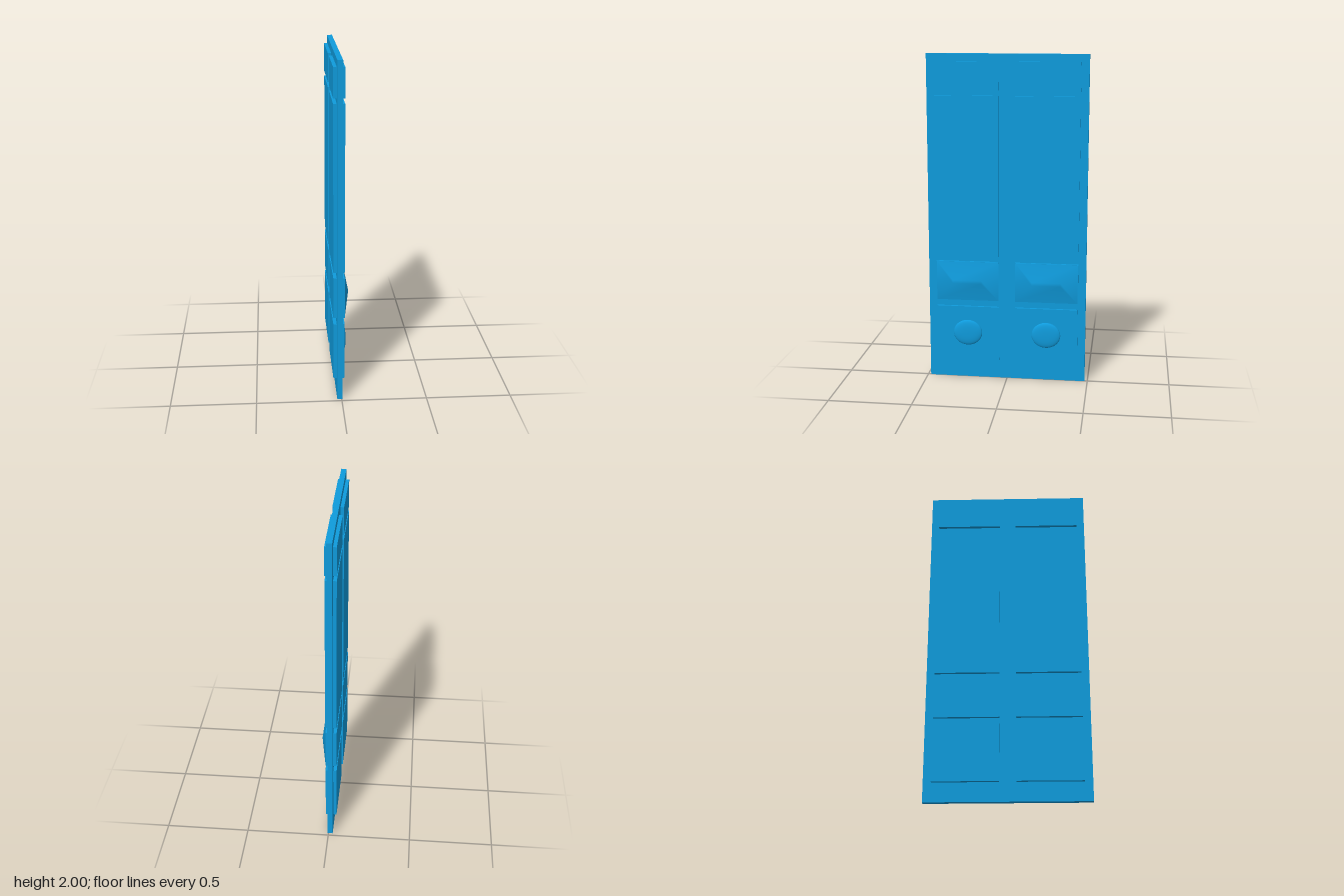
import * as THREE from 'three';

const material = new THREE.MeshStandardMaterial({ color: 0x0f9bdc });

function addMesh(parent, name, geometry, x, y, z) {
  const mesh = new THREE.Mesh(geometry, material);
  mesh.name = name;
  mesh.position.set(x, y, z);
  parent.add(mesh);
  return mesh;
}

// Shallow hipped field: a rectangle at x = 0 tapering to a small one at x = h
function hippedField(w, d, topW, topD, h) {
  const ring = (x, a, b) => [x, -a / 2, b / 2, x, -a / 2, -b / 2, x, a / 2, -b / 2, x, a / 2, b / 2];
  const index = [4, 5, 6, 4, 6, 7];
  for (let i = 0; i < 4; i++) {
    const j = (i + 1) % 4;
    index.push(i, j, j + 4, i, j + 4, i + 4);
  }
  const geometry = new THREE.BufferGeometry();
  geometry.setAttribute('position', new THREE.Float32BufferAttribute([...ring(0, w, d), ...ring(h, topW, topD)], 3));
  geometry.setIndex(index);
  geometry.computeVertexNormals();
  return geometry;
}

// Rounded boss turned around the x axis, slightly wider than tall
function bossGeometry(ry, rz, h) {
  const profile = [];
  for (let i = 0; i <= 12; i++) {
    const a = (i / 12) * Math.PI / 2;
    profile.push(new THREE.Vector2(Math.cos(a) ** 0.8, Math.sin(a) ** 0.8));
  }
  profile[12].x = 0;
  return new THREE.LatheGeometry(profile, 40).scale(ry, h, rz).rotateZ(-Math.PI / 2);
}

export function createModel() {
  const door = new THREE.Group();
  door.name = 'panelledDoor';

  // Door leaf
  addMesh(door, 'doorLeaf', new THREE.BoxGeometry(0.031, 2, 0.964), -0.0105, 1, 0);

  // Panels pass through the leaf and stand proud on both faces
  const rows = [
    ['topPanel', 1.785, 1.955],
    ['tallPanel', 0.78, 1.755],
    ['middlePanel', 0.5, 0.745],
    ['bottomPanel', 0.115, 0.46],
  ];
  for (const side of [1, -1]) {
    const z = side * 0.242;
    const column = new THREE.Group();
    column.name = side > 0 ? 'frontPanels' : 'backPanels';
    door.add(column);
    for (const [name, y0, y1] of rows) {
      addMesh(column, name, new THREE.BoxGeometry(0.066, y1 - y0, 0.386), -0.013, (y0 + y1) / 2, z);
    }
    // Raised field and round boss on the +x face
    addMesh(column, 'raisedField', hippedField(0.243, 0.38, 0.02, 0.175, 0.026), 0.02, 0.6225, z);
    addMesh(column, 'roundBoss', bossGeometry(0.08, 0.089, 0.018), 0.02, 0.293, z);
  }
  return door;
}
